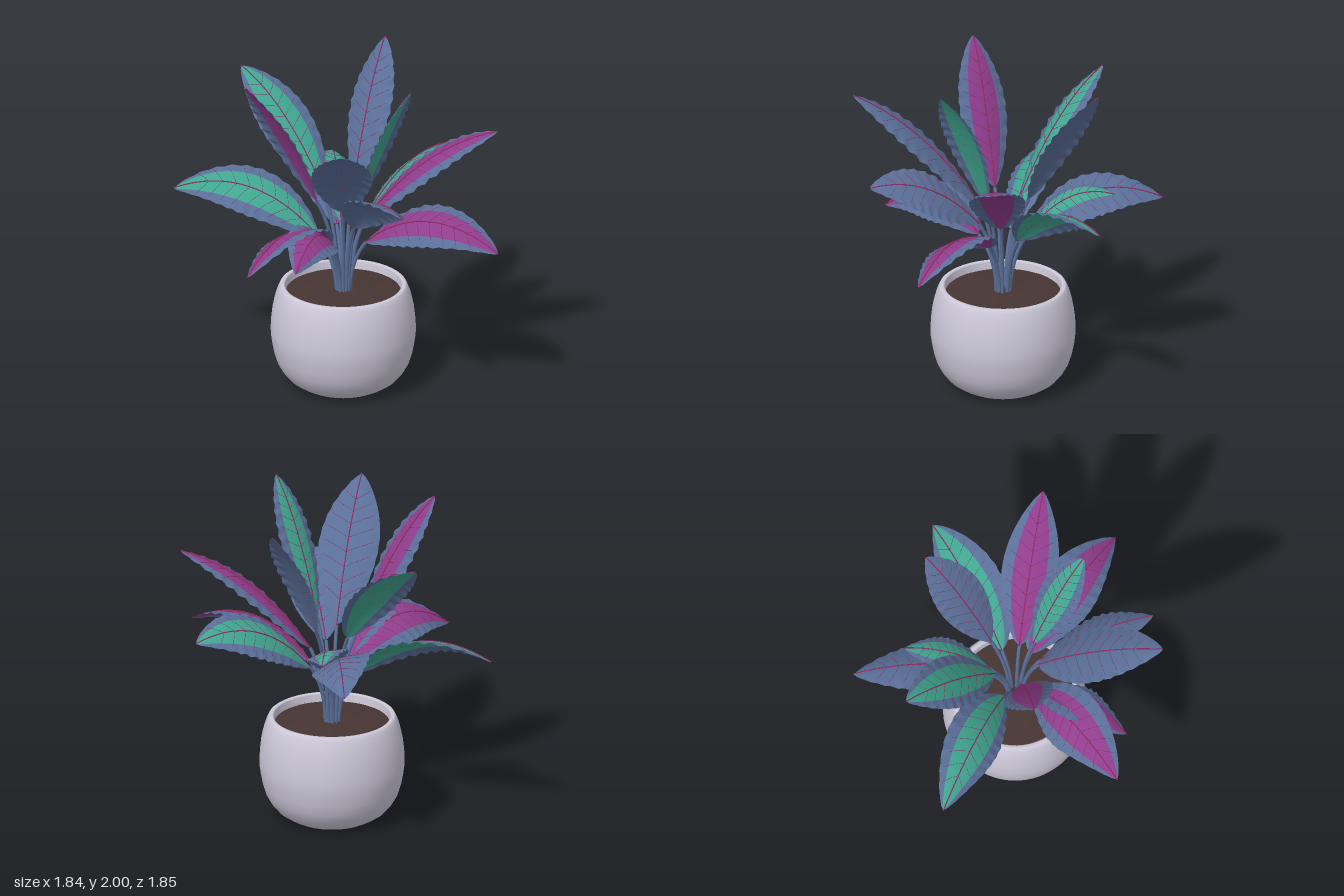
import * as THREE from 'three';

const mat = (name, color, side = THREE.FrontSide) => {
  const m = new THREE.MeshStandardMaterial({ color, side });
  m.name = name;
  return m;
};
const slate = mat('slate leaf', 0x5a6f98, THREE.DoubleSide);
const magenta = mat('magenta leaf', 0x8f3d8c, THREE.DoubleSide);
const green = mat('green leaf', 0x40a690, THREE.DoubleSide);
const ribColor = mat('crimson rib', 0x9c2a64);
const ceramic = mat('pale ceramic', 0xcdc9d9);
const soilColor = mat('soil', 0x463532);

const CX = -0.04, CZ = 0.015; // pot axis

// tip x, y, z, blade start radius and height, arch, half width, roll, band colour
const LEAVES = [
  [-0.87, 1.12, -0.46, 0.15, 0.95, 0.33, 0.18, 0.35, slate],
  [-0.55, 1.21, -0.40, 0.15, 0.97, 0.22, 0.125, 0.3, green],
  [-0.28, 1.97, -0.57, 0.17, 1.22, 0.18, 0.15, -0.3, slate],
  [0.01, 1.28, -0.92, 0.15, 0.97, 0.30, 0.185, -0.5, green],
  [0.60, 1.61, -0.63, 0.13, 1.05, 0.22, 0.165, 0.1, magenta],
  [0.91, 1.01, -0.33, 0.15, 0.93, 0.33, 0.18, 0.4, magenta],
  [0.48, 2.00, -0.03, 0.14, 1.21, 0.20, 0.128, 0.15, green],
  [0.74, 1.38, 0.31, 0.15, 1.05, 0.23, 0.17, -0.5, slate],
  [0.58, 1.82, 0.65, 0.14, 1.15, 0.20, 0.18, 0, slate],
  [0.27, 1.00, 0.72, 0.16, 0.93, 0.30, 0.15, -0.45, magenta],
  [0.07, 0.98, 0.92, 0.15, 0.93, 0.36, 0.185, 0.45, magenta],
  [-0.29, 1.98, 0.58, 0.17, 1.19, 0.18, 0.155, 0.25, magenta],
  [-0.92, 1.14, 0.55, 0.15, 0.92, 0.34, 0.175, -0.5, green],
  [-0.85, 1.80, 0.06, 0.15, 1.17, 0.21, 0.16, -0.35, green],
];

const ROWS = 44;
const COLS = [-1, -0.8, -0.6, -0.3, 0, 0.3, 0.6, 0.8, 1];

// Gently arched blade surface: t runs from base to tip, v across from edge to edge
function bladeSurface(curve, dir, halfWidth, roll) {
  const level = new THREE.Vector3(dir.z, 0, -dir.x);
  return (t, v, lift = 0) => {
    const tangent = curve.getTangent(t);
    const side = level.clone().applyAxisAngle(tangent, roll);
    const normal = tangent.clone().cross(side).normalize();
    const w = halfWidth * Math.pow(Math.max(0, Math.sin(Math.PI * Math.pow(t, 0.9))), 0.76);
    const wave = 0.008 * Math.max(0, Math.abs(v) - 0.6) / 0.4 * Math.sin(t * ROWS * Math.PI / 2) * w / halfWidth;
    return curve.getPoint(t).addScaledVector(side, w * v)
      .addScaledVector(normal, lift + wave - w * 0.2 * Math.pow(Math.abs(v), 1.8));
  };
}

// Blade mesh with slate margins and a coloured centre band
function makeBlade(surface, band) {
  const pos = [], index = [], n = ROWS + 1;
  for (const v of COLS)
    for (let i = 0; i <= ROWS; i++) pos.push(...surface(i / ROWS, v).toArray());
  const geo = new THREE.BufferGeometry();
  for (let j = 0; j < COLS.length - 1; j++) {
    const first = index.length;
    for (let i = 0; i < ROWS; i++) {
      const a = j * n + i, b = a + n;
      index.push(a, a + 1, b, a + 1, b + 1, b);
    }
    geo.addGroup(first, index.length - first, j >= 2 && j < 6 ? 1 : 0);
  }
  geo.setAttribute('position', new THREE.Float32BufferAttribute(pos, 3));
  geo.setIndex(index);
  geo.computeVertexNormals();
  const mesh = new THREE.Mesh(geo, [slate, band]);
  mesh.name = 'blade';
  return mesh;
}

function tube(name, curve, segments, radius, sides, material) {
  const mesh = new THREE.Mesh(new THREE.TubeGeometry(curve, segments, radius, sides), material);
  mesh.name = name;
  return mesh;
}

function makeLeaf([x, y, z, startR, startY, arch, halfWidth, roll, band]) {
  const leaf = new THREE.Group();
  leaf.name = 'leaf';
  const dir = new THREE.Vector3(x - CX, 0, z - CZ).normalize();
  const at = (r, h) => new THREE.Vector3(CX + dir.x * r, h, CZ + dir.z * r);
  const start = at(startR, startY), tip = new THREE.Vector3(x, y, z);
  const mid = start.clone().lerp(tip, 0.45);
  mid.y += arch;
  const spine = new THREE.QuadraticBezierCurve3(start, mid, tip);
  const surface = bladeSurface(spine, dir, halfWidth, roll);
  leaf.add(makeBlade(surface, band));

  // Stalk from the soil to the blade
  const stalk = new THREE.QuadraticBezierCurve3(at(0.04, 0.56), at(0.045, 0.56 + (startY - 0.56) * 0.65), start);
  leaf.add(tube('stalk', stalk, 12, 0.011, 7, slate));

  // Central rib and paired side veins, on the upper face
  const ribPoints = Array.from({ length: 13 }, (_, i) => surface(i / 12, 0, 0.003));
  leaf.add(tube('midrib', new THREE.CatmullRomCurve3(ribPoints), 36, 0.0035, 5, ribColor));
  for (let k = 0; k < 8; k++) {
    const t = 0.13 + k * 0.092;
    for (const s of [-1, 1]) {
      const pts = [0, 0.3, 0.57, 0.82].map(v => surface(t + v * 0.1, s * v, 0.0006));
      leaf.add(tube('vein', new THREE.CatmullRomCurve3(pts), 6, 0.0012, 3, ribColor));
    }
  }
  return leaf;
}

// Rounded pot with a thick rim and hollow top
function makePot() {
  const outer = new THREE.SplineCurve([
    [0.235, 0], [0.325, 0.055], [0.39, 0.15], [0.42, 0.27], [0.428, 0.36],
    [0.418, 0.48], [0.395, 0.58], [0.374, 0.63],
  ].map(p => new THREE.Vector2(...p))).getPoints(14);
  const inner = [[0.366, 0.636], [0.35, 0.636], [0.342, 0.628], [0.338, 0.54]].map(p => new THREE.Vector2(...p));
  const pot = new THREE.Mesh(new THREE.LatheGeometry([new THREE.Vector2(0, 0), ...outer, ...inner], 56), ceramic);
  pot.name = 'pot';
  pot.position.set(CX, 0, CZ);
  return pot;
}

// Uneven soil disc with radial furrows
function makeSoil() {
  const geo = new THREE.RingGeometry(0.001, 0.342, 40, 5);
  geo.rotateX(-Math.PI / 2);
  const p = geo.attributes.position;
  for (let i = 0; i < p.count; i++) {
    const x = p.getX(i), z = p.getZ(i), r = Math.hypot(x, z), a = Math.atan2(z, x);
    p.setY(i, 0.02 * (1 - r / 0.342) + 0.012 * Math.sin(a * 13 + r * 20) * Math.sin(r * 9));
  }
  geo.computeVertexNormals();
  const soil = new THREE.Mesh(geo, soilColor);
  soil.name = 'soil';
  soil.position.set(CX, 0.585, CZ);
  return soil;
}

export function createModel() {
  const model = new THREE.Group();
  model.name = 'pottedPlant';
  model.add(makePot(), makeSoil());
  for (const spec of LEAVES) model.add(makeLeaf(spec));
  return model;
}
